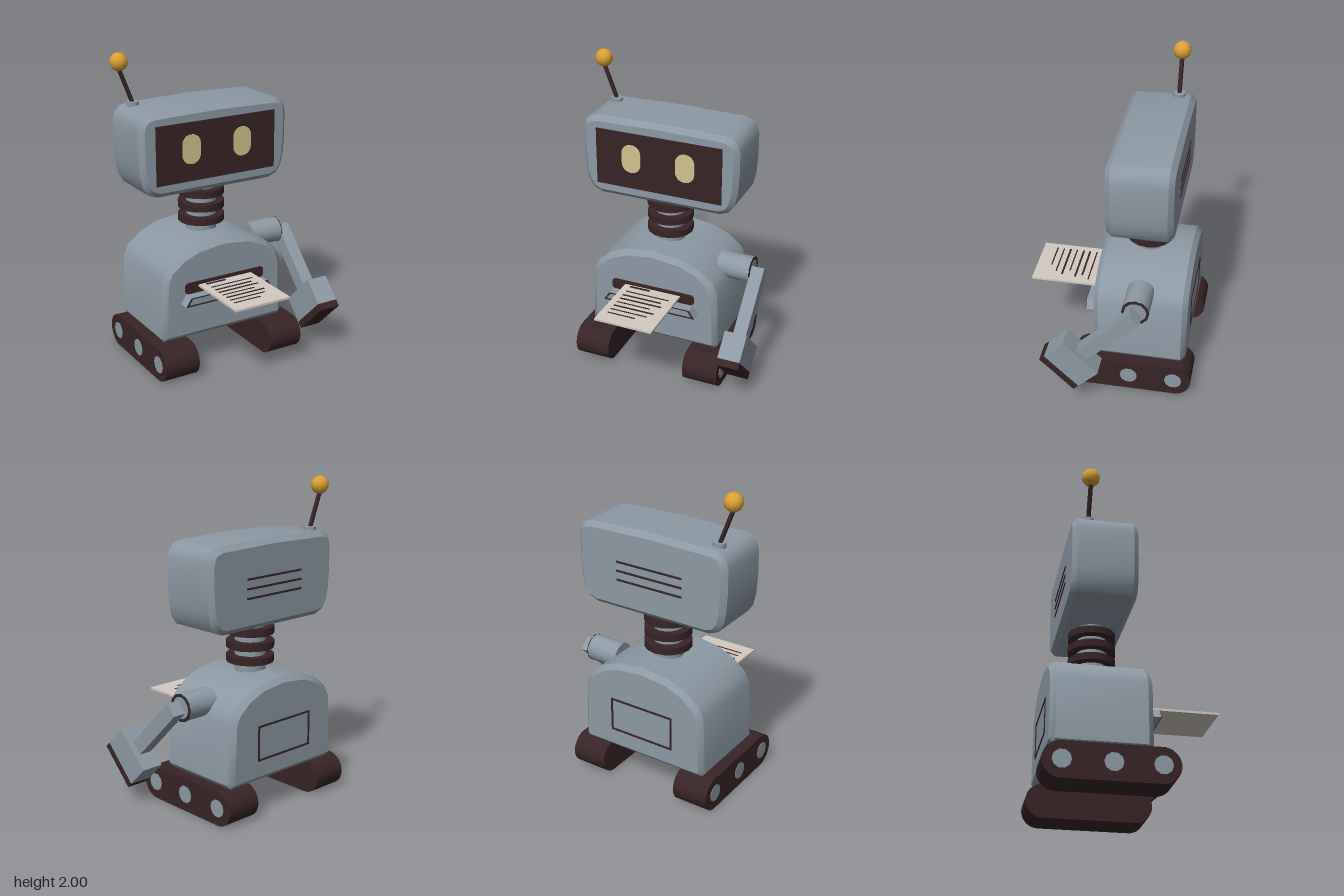
import * as THREE from 'three';
import { toCreasedNormals } from 'three/addons/utils/BufferGeometryUtils.js';

const mat = (name, color) => {
  const m = new THREE.MeshStandardMaterial({ color });
  m.name = name;
  return m;
};

export function createModel() {
  const steel = mat('steel grey', 0x8c99a4);
  const dark = mat('dark brown', 0x382426);
  const cream = mat('eye cream', 0xd2c28c);
  const paper = mat('paper', 0xd3cbc0);
  const gold = mat('gold', 0xdca036);

  const model = new THREE.Group();
  model.name = 'robot';
  const CX = -0.07; // centre line of the body

  const add = (name, geo, material, x = 0, y = 0, z = 0, parent = model) => {
    const m = new THREE.Mesh(geo, material);
    m.name = name;
    m.position.set(x, y, z);
    parent.add(m);
    return m;
  };
  const box = (name, material, w, h, d, x, y, z, parent) =>
    add(name, new THREE.BoxGeometry(w, h, d), material, x, y, z, parent);
  const cyl = (r, h, n) => toCreasedNormals(new THREE.CylinderGeometry(r, r, h, n), 0.8);

  // Mirrors a right-hand half outline, listed from bottom centre to top centre
  const mirrored = (half) => {
    const left = half.slice(1, -1).reverse().map(([x, y]) => [-x, y]);
    return new THREE.Shape([...half, ...left, half[0]].slice(0, -1).map(([x, y]) => new THREE.Vector2(x, y)));
  };
  // Extrusion filling z0..z1 with a chamfer inside the outline
  const slab = (shape, z0, z1, bevel = 0, crease = 0.6) => {
    const g = new THREE.ExtrudeGeometry(shape, {
      depth: z1 - z0 - 2 * bevel, bevelEnabled: bevel > 0, bevelSize: bevel,
      bevelThickness: bevel, bevelOffset: -bevel, bevelSegments: 1, curveSegments: 6,
    });
    g.translate(0, 0, z0 + bevel);
    return toCreasedNormals(g, crease);
  };
  // Rounded rectangle outline centred on the origin
  const rounded = (w, h, r) => {
    const s = new THREE.Shape(), a = w / 2 - r, b = h / 2 - r, q = Math.PI / 2;
    s.absarc(a, b, r, 0, q);
    s.absarc(-a, b, r, q, 2 * q);
    s.absarc(-a, -b, r, 2 * q, 3 * q);
    s.absarc(a, -b, r, 3 * q, 4 * q);
    return s;
  };

  // Head
  const headShape = mirrored([[0, 1.145], [0.40, 1.145], [0.46, 1.168], [0.495, 1.22], [0.513, 1.3],
    [0.521, 1.42], [0.521, 1.57], [0.507, 1.625], [0.475, 1.658], [0.42, 1.671], [0, 1.68]]);
  add('head', slab(headShape, -0.405, 0, 0.032), steel, CX);
  box('facePanel', dark, 0.84, 0.372, 0.008, CX, 1.411, 0.002);
  for (const s of [-1, 1])
    add('eye', slab(rounded(0.126, 0.186, 0.06), 0, 0.005), cream, CX + s * 0.18, 1.428, 0.006);
  for (let i = -1; i <= 1; i++)
    box('headVent', dark, 0.46, 0.012, 0.008, CX, 1.4 + i * 0.058, -0.406);

  // Antenna, leaning to the side
  const from = new THREE.Vector3(-0.487, 1.68, -0.3), to = new THREE.Vector3(-0.572, 1.9, -0.3);
  add('antennaBase', cyl(0.04, 0.03, 8), steel, from.x, 1.678, from.z);
  const dir = to.clone().sub(from);
  const mid = from.clone().add(to).multiplyScalar(0.5);
  const rod = add('antennaRod', cyl(0.014, dir.length(), 8), dark, mid.x, mid.y, mid.z);
  rod.quaternion.setFromUnitVectors(new THREE.Vector3(0, 1, 0), dir.normalize());
  add('antennaBall', new THREE.SphereGeometry(0.057, 10, 8), gold, -0.572, 1.944, -0.3);

  // Neck with rings
  add('neck', cyl(0.098, 0.36, 16), steel, CX, 0.99, -0.2);
  for (let i = 0; i < 3; i++)
    add('neckRing', cyl(0.15, 0.046, 16), dark, CX, 0.908 + i * 0.09, -0.2);

  // Body
  const bodyShape = mirrored([[0, 0.218], [0.425, 0.218], [0.446, 0.245], [0.431, 0.626], [0.396, 0.697],
    [0.305, 0.77], [0.185, 0.818], [0, 0.84]]);
  add('body', slab(bodyShape, -0.502, 0.095, 0.032), steel, CX);

  // Paper slot, tray and printed sheet
  add('paperSlot', slab(rounded(0.575, 0.074, 0.025), 0, 0.008), dark, CX, 0.56, 0.093);
  const tray = mirrored([[0, 0.467], [0.317, 0.467], [0.28, 0.522], [0, 0.522]]);
  add('paperTray', slab(tray, 0.09, 0.164), steel, CX);
  const rim = mirrored([[0, 0.467], [0.317, 0.467], [0.28, 0.522], [0, 0.522]]);
  rim.holes.push(mirrored([[0, 0.476], [0.299, 0.476], [0.27, 0.516], [0, 0.516]]));
  add('trayRim', slab(rim, 0.163, 0.167), dark, CX);
  box('paperSheet', paper, 0.385, 0.014, 0.46, CX, 0.567, 0.318);
  // z, right end and thickness of each printed line
  const lines = [[0.123, -0.08, 0.016], [0.183, 0.08, 0.008], [0.23, 0.045, 0.012], [0.273, 0.068, 0.012],
    [0.319, 0.01, 0.008], [0.363, 0.055, 0.012], [0.408, 0.03, 0.008], [0.452, -0.03, 0.008]];
  for (const [z, end, t] of lines)
    box('printedLine', dark, end + 0.218, 0.004, t, (end - 0.218) / 2, 0.575, z);

  // Outline of the back hatch
  const hatch = rounded(0.45, 0.225, 0.001);
  hatch.holes.push(rounded(0.426, 0.201, 0.001));
  add('backHatch', slab(hatch, 0, 0.006), dark, CX, 0.465, -0.507);

  // Shoulder and single arm
  add('shoulder', cyl(0.085, 0.22, 20), steel, 0.395, 0.7, -0.2).rotation.z = Math.PI / 2;
  const ring = new THREE.Shape().absarc(0, 0, 0.087, 0, Math.PI * 2);
  ring.holes.push(new THREE.Path().absarc(0, 0, 0.07, 0, Math.PI * 2));
  add('shoulderRing', slab(ring, 0, 0.006), dark, 0.502, 0.7, -0.2).rotation.y = Math.PI / 2;
  const arm = new THREE.Group();
  arm.name = 'arm';
  arm.position.set(0.5475, 0.7, -0.2);
  arm.rotation.x = -Math.PI / 4;
  model.add(arm);
  box('armBar', steel, 0.085, 0.48, 0.092, 0, -0.23, 0, arm);
  box('hand', steel, 0.145, 0.175, 0.303, 0.005, -0.5425, 0, arm);
  box('gripPad', dark, 0.145, 0.045, 0.303, 0.005, -0.6525, 0, arm);

  // Tracks with wheel discs on the outer faces
  for (const s of [-1, 1]) {
    const x = CX + s * 0.383;
    const track = slab(rounded(0.783, 0.215, 0.1074), -0.118, 0.118);
    track.rotateY(Math.PI / 2);
    add('track', track, dark, x, 0.1075, -0.157);
    for (const z of [0.13, -0.148, -0.437])
      add('wheelDisc', cyl(0.056, 0.008, 10), steel, x + s * 0.117, 0.11, z).rotation.z = Math.PI / 2;
  }
  return model;
}
